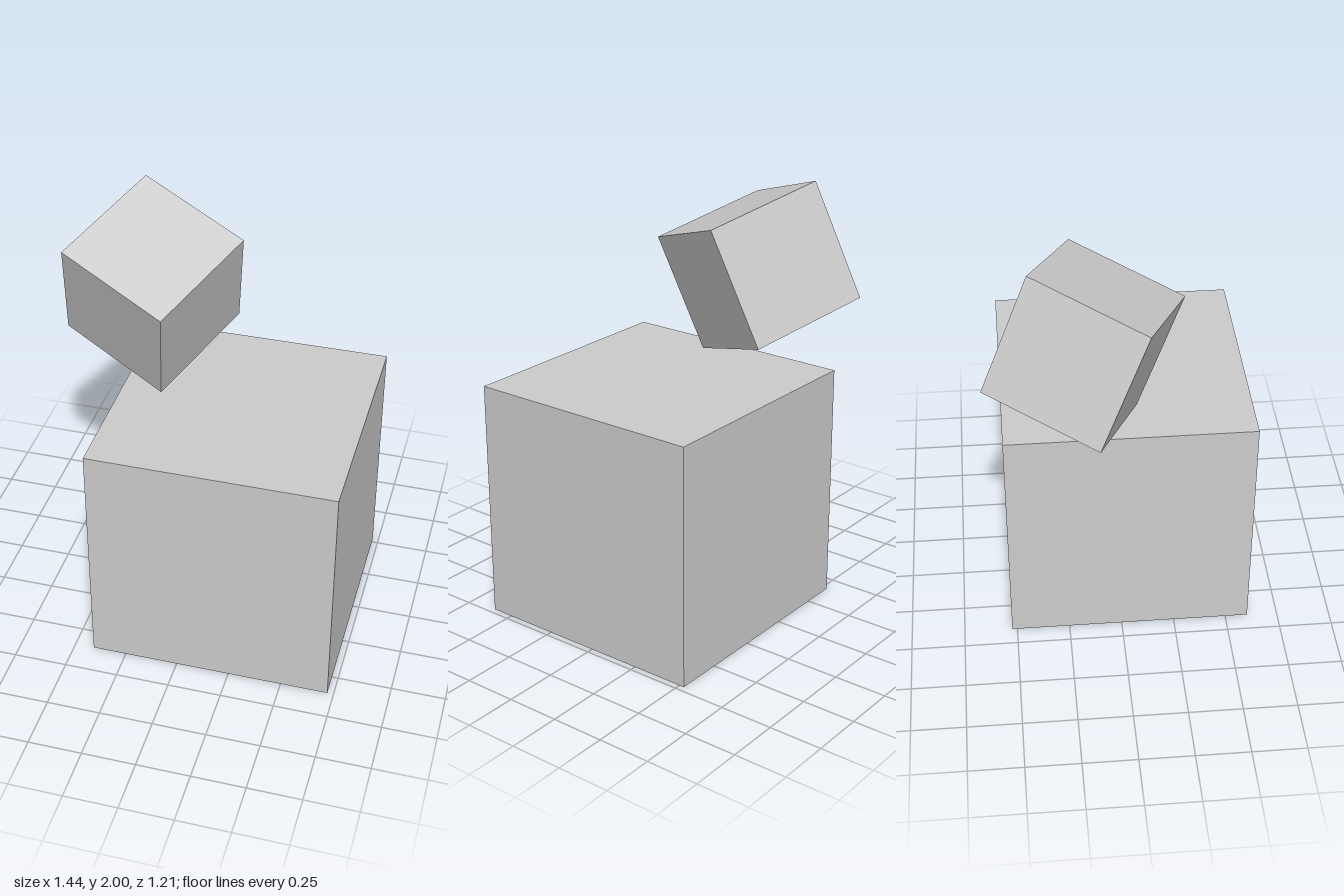
import * as THREE from 'three';

export function createModel() {
  const group = new THREE.Group();
  const material = new THREE.MeshStandardMaterial({ color: 0xcccccc, flatShading: true });

  const addCube = (name, size, x, y, z) => {
    const cube = new THREE.Mesh(new THREE.BoxGeometry(size, size, size), material);
    cube.name = name;
    cube.position.set(x, y, z);
    group.add(cube);
    return cube;
  };

  // Large cube resting on the ground
  addCube('largeCube', 1.13, 0.156, 0.565, 0.041);

  // Half-size cube tumbling just above it
  const small = addCube('smallCube', 0.566, -0.31, 1.58, -0.155);
  const deg = THREE.MathUtils.degToRad;
  small.rotation.set(deg(18.8), deg(-25.1), deg(-7.8));

  return group;
}
